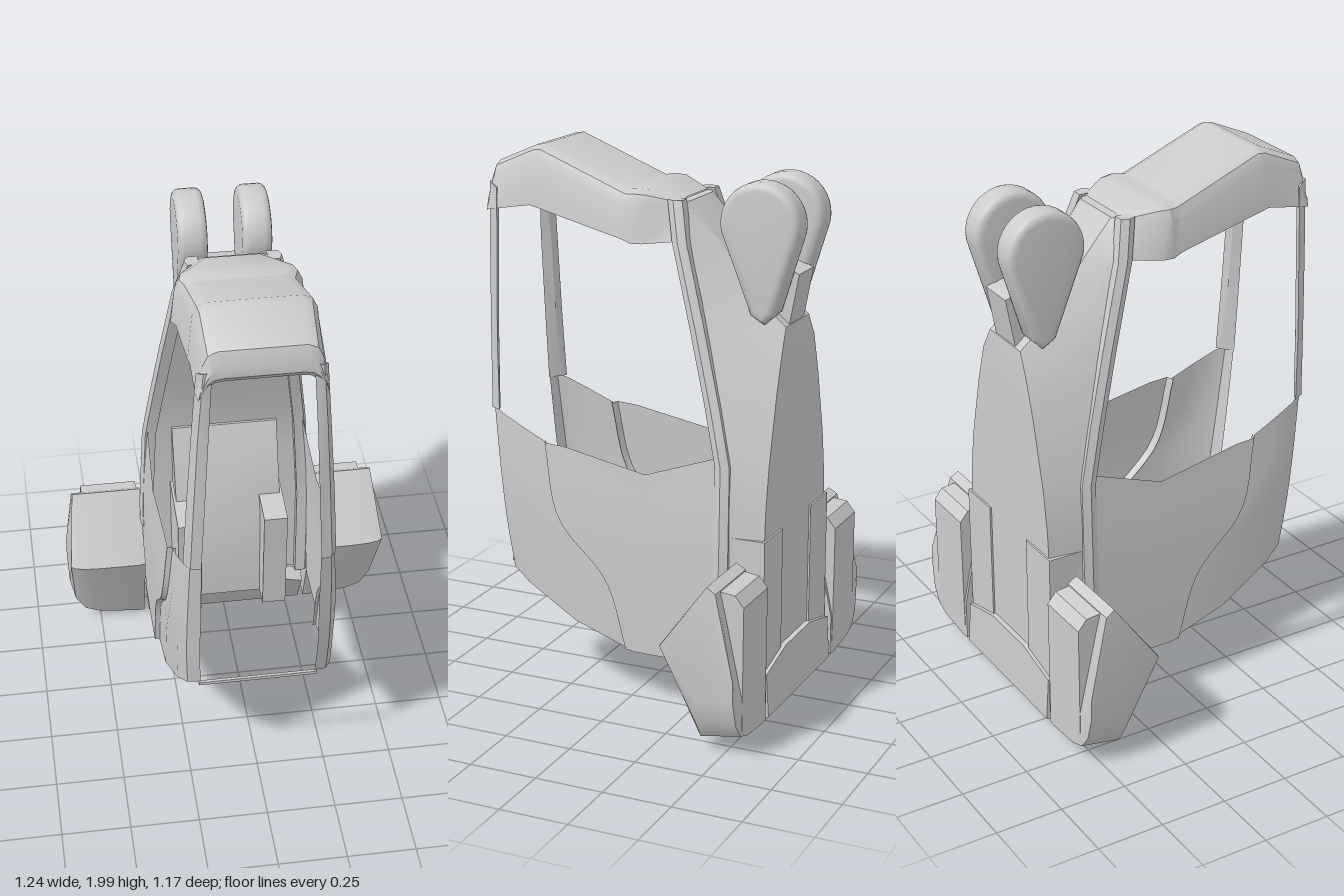
import * as THREE from 'three';
import { toCreasedNormals } from 'three/addons/utils/BufferGeometryUtils.js';

const material = new THREE.MeshStandardMaterial({ color: 0xcccccc, side: THREE.DoubleSide });

function mesh(name, geometry, crease = 0.6) {
  const m = new THREE.Mesh(toCreasedNormals(geometry, crease), material);
  m.name = name;
  return m;
}

// Skin through rows of [x, y, z]; closed rows form rings, capped at both ends
function loft(rows, closed = false) {
  const n = rows[0].length, pos = rows.flat(2), idx = [];
  for (let i = 0; i < rows.length - 1; i++) {
    for (let j = 0; j < (closed ? n : n - 1); j++) {
      const a = i * n + j, b = i * n + (j + 1) % n;
      idx.push(a, b, a + n, b, b + n, a + n);
    }
  }
  if (closed) {
    const e = (rows.length - 1) * n;
    for (let j = 1; j < n - 1; j++) idx.push(0, j + 1, j, e, e + j, e + j + 1);
  }
  const g = new THREE.BufferGeometry();
  g.setAttribute('position', new THREE.Float32BufferAttribute(pos, 3));
  g.setIndex(idx);
  g.computeVertexNormals();
  return g;
}

// Side profile of [z, y] points extruded from x0 to x1
function slab(points, x0, x1, bevel = 0) {
  const shape = new THREE.Shape(points.map(p => new THREE.Vector2(p[0], p[1])));
  const g = new THREE.ExtrudeGeometry(shape, {
    depth: x1 - x0 - 2 * bevel, bevelEnabled: bevel > 0, bevelSize: bevel,
    bevelThickness: bevel, bevelOffset: -bevel, bevelSegments: 3 });
  return g.rotateY(-Math.PI / 2).translate(x1 - bevel, 0, 0);
}

// Half width of the flank at height y
function flankX(y) {
  const t = [[0.2, 0.312], [0.6, 0.31], [0.8, 0.302], [0.95, 0.288], [1.1, 0.265]];
  for (let i = 1; i < t.length; i++) {
    if (y <= t[i][0]) {
      const k = Math.max(0, (y - t[i - 1][0]) / (t[i][0] - t[i - 1][0]));
      return t[i - 1][1] + k * (t[i][1] - t[i - 1][1]);
    }
  }
  return 0.265;
}

// Panel skin from key edges, each a list of [z, y, inset]
function panel(edges, offset) {
  const curves = edges.map(e => new THREE.CatmullRomCurve3(
    e.map(([z, y, inset = 0]) => new THREE.Vector3(flankX(y) + offset - inset, y, z))));
  return loft(curves.map(c => c.getPoints(16).map(p => p.toArray())));
}

function buildSide() {
  const side = new THREE.Group();

  // Front corner pillar
  side.add(mesh('frontPillar', loft([
    [[0.165, 1.86, 0.57], [0.195, 1.86, 0.578], [0.215, 1.84, 0.54], [0.19, 1.84, 0.545]],
    [[0.18, 1.6, 0.577], [0.215, 1.6, 0.572], [0.232, 1.6, 0.535], [0.2, 1.6, 0.545]],
    [[0.195, 1.3, 0.572], [0.232, 1.3, 0.566], [0.252, 1.3, 0.53], [0.22, 1.3, 0.54]],
    [[0.208, 1.04, 0.566], [0.245, 1.04, 0.56], [0.266, 1.04, 0.52], [0.24, 1.04, 0.53]],
  ], true)));

  // Front flank panel, wrapping round the front corner
  const step = [[0.33, 0.95], [0.27, 0.68], [0.08, 0.47], [0, 0.22]];
  side.add(mesh('frontFlank', panel([
    [[0.565, 1.07, 0.055], [0.54, 0.8, 0.085], [0.52, 0.6, 0.09], [0.5, 0.46, 0.095]],
    [[0.55, 1.05, 0.02], [0.525, 0.8, 0.04], [0.5, 0.6, 0.045], [0.475, 0.44, 0.05]],
    [[0.51, 1.03, 0.005], [0.48, 0.8, 0.015], [0.44, 0.57, 0.02], [0.4, 0.4, 0.02]],
    [[0.42, 0.99], [0.37, 0.73], [0.26, 0.51], [0.2, 0.29]],
    step,
  ], -0.008)));

  // Rear flank panel with a raised leading edge
  side.add(mesh('rearFlank', panel([
    step.map(([z, y]) => [z, y, 0.03]),
    step.map(([z, y]) => [z - 0.01, y]),
    [[0.24, 0.945], [0.18, 0.68], [0.02, 0.46], [-0.05, 0.215]],
    [[-0.08, 0.885], [-0.13, 0.65], [-0.18, 0.45], [-0.2, 0.215]],
    [[-0.34, 0.975], [-0.375, 0.7], [-0.375, 0.45], [-0.32, 0.22]],
  ], 0.01)));

  // Slanted door frame running down to the floor
  const frame = [[1.84, -0.125, 0.16], [1.7, -0.16, 0.2], [1.4, -0.25, 0.243],
    [1.15, -0.32, 0.277], [0.95, -0.37, 0.303], [0.6, -0.375, 0.322], [0.22, -0.36, 0.318]];
  side.add(mesh('doorFrame', loft(frame.map(([y, z, x]) => [
    [x - 0.04, y, z + 0.025], [x, y, z + 0.025], [x + 0.01, y, z], [x, y, z - 0.03], [x - 0.04, y, z - 0.03],
  ]), true)));

  // Console beside the seat
  side.add(mesh('console', slab([[-0.5, 0.22], [-0.16, 0.22], [-0.13, 0.66], [-0.38, 0.69], [-0.5, 0.69]], 0.12, 0.21)));
  // Raised rear corner panel
  side.add(mesh('rearCornerPanel', new THREE.BoxGeometry(0.17, 0.5, 0.15).translate(0.222, 0.45, -0.462)));

  // Side pod
  const pod = [[-0.44, 0.62], [-0.265, 0.38], [-0.41, 0.02], [-0.56, 0.05], [-0.56, 0.2], [-0.475, 0.6]];
  const podRow = (x, lift, k) => pod.map(([z, y]) =>
    [x - 0.03 * Math.max(0, (y - 0.35) / 0.27) * (x > 0.5 ? 1 : 0), y + lift * Math.max(0, 1 - y / 0.4),
      -0.46 + (z + 0.46) * k]);
  side.add(mesh('sidePod', loft([podRow(0.325, 0, 0.97), podRow(0.345, 0, 1), podRow(0.5, 0.015, 1),
    podRow(0.56, 0.04, 0.99), podRow(0.598, 0.1, 0.97), podRow(0.618, 0.2, 0.93)], true)));
  side.add(mesh('podBacking', slab([[-0.44, 0.6], [-0.42, 0.1], [-0.56, 0.1], [-0.562, 0.55], [-0.53, 0.59]], 0.335, 0.55)));

  // Tall rounded lobe behind the roof, tapering towards its foot
  const lobe = [];
  for (let i = 0; i <= 20; i++) {
    const a = -0.2 + i / 20 * (Math.PI + 0.4);
    lobe.push([-0.44 + 0.147 * Math.cos(a), 1.775 + 0.147 * Math.sin(a)]);
  }
  lobe.push([-0.5, 1.47], [-0.46, 1.43], [-0.41, 1.46]);
  side.add(mesh('rearLobe', slab(lobe, 0.062, 0.168, 0.025)));
  return side;
}

export function createModel() {
  const model = new THREE.Group();

  // Roof canopy: [z, top, lower edge, half width at top, half width at edge]
  const roof = [
    [0.56, 1.815, 1.78, 0.165, 0.2], [0.582, 1.84, 1.79, 0.175, 0.205], [0.582, 1.88, 1.76, 0.18, 0.212],
    [0.56, 1.93, 1.765, 0.19, 0.218], [0.41, 1.995, 1.79, 0.196, 0.218], [0.38, 2, 1.785, 0.2, 0.222],
    [0.05, 1.868, 1.7, 0.2, 0.222], [0.01, 1.872, 1.69, 0.215, 0.235], [-0.03, 1.87, 1.69, 0.205, 0.23],
    [-0.14, 1.84, 1.7, 0.14, 0.19],
  ];
  model.add(mesh('roof', loft(roof.map(([z, top, low, wt, wl]) => {
    const d = Math.min(0.05, (top - low) * 0.4);
    const half = [[wl, low, z], [wt + 0.005, top - d, z], [wt - 0.012, top - d * 0.3, z], [wt - 0.045, top, z]];
    return [...half.map(([x, y, w]) => [-x, y, w]), ...half.reverse()];
  }))));

  // Rear body: [y, front z, front half width, back z, back half width]
  const body = [
    [0.2, -0.37, 0.29, -0.53, 0.28], [0.55, -0.38, 0.312, -0.53, 0.3], [0.8, -0.38, 0.308, -0.53, 0.285],
    [0.95, -0.38, 0.295, -0.53, 0.262], [1.2, -0.312, 0.26, -0.53, 0.2], [1.34, -0.272, 0.235, -0.53, 0.155],
    [1.42, -0.25, 0.223, -0.525, 0.11], [1.5, -0.225, 0.21, -0.43, 0.11], [1.7, -0.165, 0.185, -0.27, 0.1],
    [1.83, -0.125, 0.15, -0.16, 0.1],
  ];
  model.add(mesh('rearBody', loft(body.map(([y, f, wf, b, wb]) => {
    const m = f + (b - f) * 0.35;
    return [[-wf, y, f], [wf, y, f], [wf * 0.7 + wb * 0.3, y, m], [wb, y, b],
      [-wb, y, b], [-wf * 0.7 - wb * 0.3, y, m]];
  }), true), 0.5));

  // Seat sloping forward from the rear wall
  model.add(mesh('seat', slab([[-0.4, 0.95], [-0.37, 0.95], [-0.24, 0.6], [-0.24, 0.22], [-0.4, 0.22]], -0.2, 0.2)));

  // Neck joining the two lobes
  model.add(mesh('lobeNeck', slab([[-0.52, 1.41], [-0.555, 1.6], [-0.5, 1.62], [-0.3, 1.62], [-0.26, 1.5]], -0.07, 0.07)));

  // Thin sill across the foot of the front opening
  model.add(mesh('frontSill', new THREE.BoxGeometry(0.43, 0.012, 0.012).translate(0, 0.452, 0.5)));

  // Bottom beam between the side pods, with a peaked top
  const beam = (x, top) => [[x, 0.05, -0.56], [x, 0.01, -0.42], [x, top - 0.04, -0.325], [x, top, -0.36], [x, top, -0.55]];
  model.add(mesh('bottomBeam', loft([beam(-0.305, 0.21), beam(-0.12, 0.255), beam(0.12, 0.255), beam(0.305, 0.21)], true)));

  // Mirrored sides
  const left = buildSide(), right = left.clone();
  left.name = 'leftSide';
  right.name = 'rightSide';
  right.scale.x = -1;
  model.add(left, right);
  return model;
}
